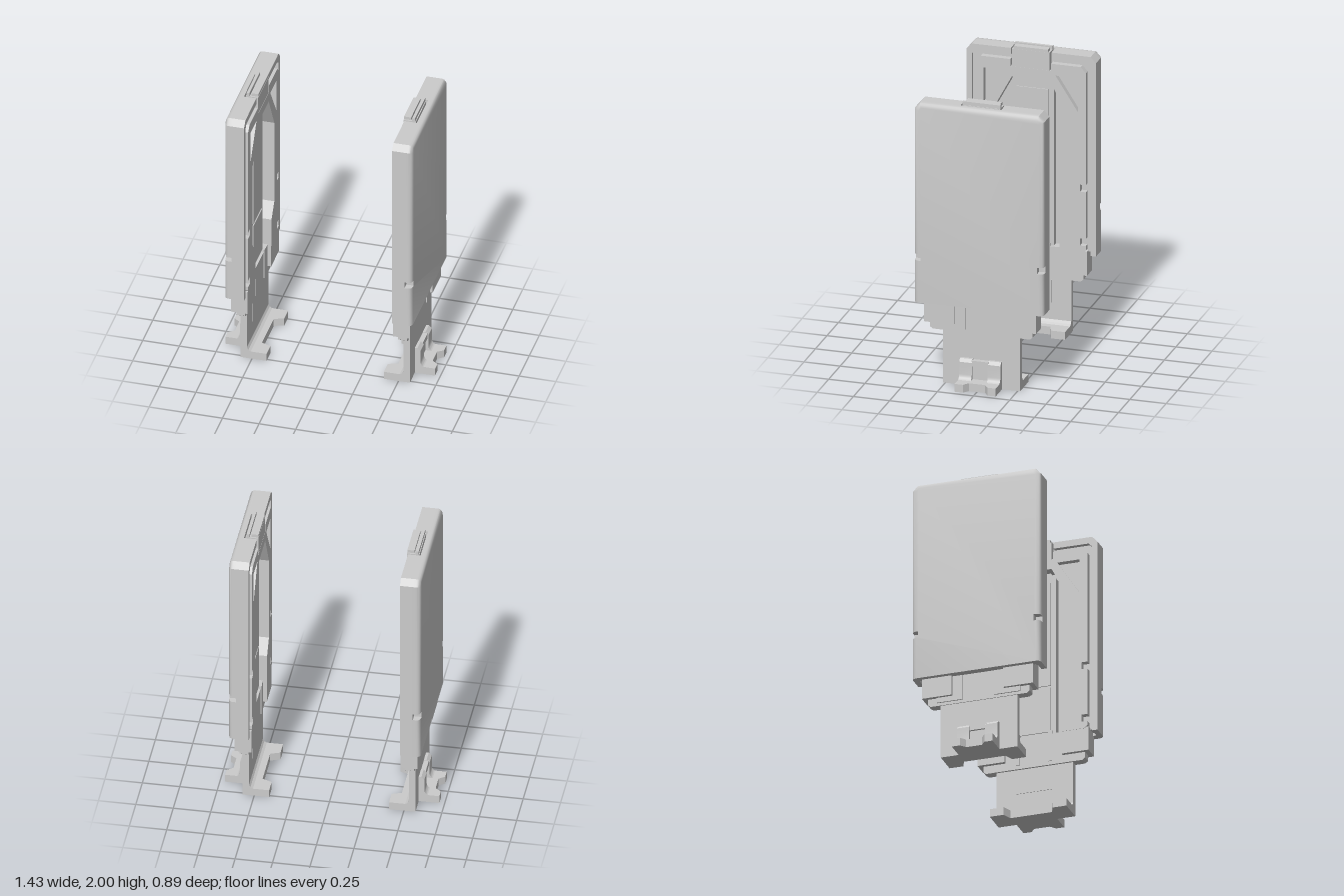
import * as THREE from 'three';
import { toCreasedNormals } from 'three/addons/utils/BufferGeometryUtils.js';

const material = new THREE.MeshStandardMaterial({ color: 0xcccccc });

function add(group, name, geometry) {
  const mesh = new THREE.Mesh(geometry, material);
  mesh.name = name;
  group.add(mesh);
  return mesh;
}

const shapeOf = (pts) => new THREE.Shape(pts.map(([a, b]) => new THREE.Vector2(a, b)));
const flip = (pts) => pts.map(([a, b]) => [-a, b]).reverse();
const mirrored = (half) => [...half, ...flip(half)];

// Side-profile slab (across, up) between two x positions
function slab(pts, x0, x1, holes = []) {
  const shape = shapeOf(pts);
  holes.forEach((h) => shape.holes.push(shapeOf(h)));
  const g = new THREE.ExtrudeGeometry(shape, { depth: x1 - x0, bevelEnabled: false });
  return g.rotateY(Math.PI / 2).translate(x0, 0, 0);
}

// Plan-profile slab (x, z) between two heights
function planSlab(pts, y0, y1) {
  const g = new THREE.ExtrudeGeometry(shapeOf(pts), { depth: y1 - y0, bevelEnabled: false });
  return g.rotateX(Math.PI / 2).translate(0, y1, 0);
}

function box(x0, x1, y0, y1, z0, z1) {
  return new THREE.BoxGeometry(x1 - x0, y1 - y0, z1 - z0)
    .translate((x0 + x1) / 2, (y0 + y1) / 2, (z0 + z1) / 2);
}

// Outer cover: loops of the outline, shrinking towards the outer face
function coverGeometry() {
  const layers = [[0.59, 0], [0.613, 0], [0.625, 0.003], [0.635, 0.012], [0.641, 0.03]];
  const outline = (i) => {
    const w = 0.447 - i, n = Math.min(w, 0.402);
    return mirrored([
      [w, 0.57], [w, 0.865], [n, 0.865], [n, 0.91], [w, 0.91],
      [w, 1.935 - i * 0.4], [0.41 - i * 0.4, 1.975 - i],
    ]);
  };
  const loops = layers.map(([, i]) => outline(i));
  const pos = [], index = [], count = loops[0].length;
  loops.forEach((loop, j) => loop.forEach(([u, v]) => pos.push(layers[j][0], v, -u)));
  for (let j = 0; j < layers.length - 1; j++) {
    for (let k = 0; k < count; k++) {
      const a = j * count + k, b = j * count + (k + 1) % count;
      index.push(a, b, b + count, a, b + count, a + count);
    }
  }
  const top = (layers.length - 1) * count;
  const caps = (loop) => THREE.ShapeUtils.triangulateShape(loop.map(([a, b]) => new THREE.Vector2(a, b)), []);
  caps(loops[0]).forEach(([a, b, c]) => index.push(a, c, b));
  caps(loops[layers.length - 1]).forEach(([a, b, c]) => index.push(top + a, top + b, top + c));
  const g = new THREE.BufferGeometry();
  g.setAttribute('position', new THREE.Float32BufferAttribute(pos, 3));
  g.setIndex(index);
  return toCreasedNormals(g, 0.7);
}

function createUnit() {
  const unit = new THREE.Group();
  add(unit, 'outerCover', coverGeometry());

  // Rim around the inner side, with a slot at the top for the latch
  const rim = [[0.447, 0.57], [0.447, 1.935], [0.41, 1.975], [0.14, 1.975], [0.14, 1.93],
    [0.385, 1.93], [0.41, 1.905], [0.41, 0.57]];
  add(unit, 'coverRim', slab(rim, 0.505, 0.59));
  add(unit, 'coverRim', slab(flip(rim), 0.505, 0.59));

  // Channel outline shared by the inner frame and the groove floor
  const channel = [[-0.13, 1.78], [-0.27, 1.52], [-0.27, 0.9], [-0.2, 0.8], [-0.2, 0.59]];
  const opening = mirrored(channel);
  const floorOutline = [[0.42, 0.59], [0.42, 1.94]];
  add(unit, 'grooveFloor', slab([...mirrored(floorOutline), ...opening.reverse().map(([a, b]) => [a, b])].slice(0, 4)
    .concat(flip(channel).map(([a, b]) => [-a, b]), channel.map(([a, b]) => [-a, b])), 0.535, 0.59));

  // Inner frame with side notches and triangular corner pockets
  const edge = [[0.36, 0.59], [0.38, 0.61], [0.38, 0.64], [0.34, 0.64], [0.34, 0.69], [0.38, 0.69],
    [0.38, 1.02], [0.34, 1.02], [0.34, 1.07], [0.38, 1.07], [0.38, 1.86], [0.345, 1.9],
    [0.14, 1.9], [0.14, 1.85]];
  const pocket = [[0.325, 1.58], [0.325, 1.82], [0.17, 1.82]];
  const frame = [...mirrored(edge), ...flip(channel).map(([a, b]) => [-a, b]),
    ...channel.map(([a, b]) => [-a, b])];
  add(unit, 'innerFrame', slab(frame, 0.495, 0.575, [pocket, flip(pocket)]));

  // Central rail with two raised panels
  const rail = mirrored([[0.145, 0.6], [0.145, 1.73], [0.11, 1.77]]);
  add(unit, 'centralRail', slab(rail, 0.54, 0.592));
  add(unit, 'railPanel', box(0.533, 0.545, 0.62, 0.94, -0.11, 0.11));
  add(unit, 'railPanel', box(0.533, 0.545, 0.955, 1.7, -0.11, 0.11));

  // Top latch: body, back lip and end walls
  add(unit, 'latchBody', box(0.496, 0.58, 1.84, 1.975, -0.13, 0.13));
  add(unit, 'latchLip', box(0.555, 0.575, 1.97, 2, -0.13, 0.13));
  add(unit, 'latchLip', box(0.497, 0.545, 1.97, 1.995, -0.118, 0.118));

  // Sliding carriage below the cover
  add(unit, 'carriagePlate', slab(mirrored([[0.335, 0.375], [0.355, 0.39], [0.355, 0.6]]), 0.522, 0.583));
  for (const s of [-1, 1]) {
    const side = (name, x0, x1, y0, y1, z0, z1) =>
      add(unit, name, box(x0, x1, y0, y1, Math.min(s * z0, s * z1), Math.max(s * z0, s * z1)));
    side('carriageBlock', 0.497, 0.61, 0.43, 0.6, 0.3, 0.387);
    side('carriageOuterBlock', 0.58, 0.61, 0.43, 0.59, 0.18, 0.31);
    side('carriageInnerBlock', 0.497, 0.53, 0.43, 0.6, 0.2, 0.31);
    side('carriageStep', 0.58, 0.592, 0.395, 0.58, 0.11, 0.29);
    side('railGuide', 0.515, 0.53, 0.4, 0.62, 0.1, 0.125);
  }

  // Sliding leg
  add(unit, 'leg', box(0.535, 0.577, 0, 0.4, -0.267, 0.267));
  add(unit, 'legPanel', box(0.531, 0.54, 0.2, 0.36, -0.13, 0.13));

  // Inner foot: two prongs, with a fillet against the leg
  const prong = [[0.54, 0.267], [0.4, 0.267], [0.4, 0.17], [0.465, 0.145]];
  const mirrorZ = (pts) => [...pts, ...pts.map(([x, z]) => [x, -z]).reverse()];
  add(unit, 'innerFoot', planSlab(mirrorZ(prong), 0, 0.055));
  const fillet = shapeOf([[0.5, 0.05], [0.54, 0.05], [0.54, 0.09], [0.525, 0.065]]);
  add(unit, 'footFillet', new THREE.ExtrudeGeometry(fillet, { depth: 0.534, bevelEnabled: false })
    .translate(0, 0, -0.267));

  // Outer foot: notched toe and two curved cheeks joined by a top bridge
  const toe = [[0.57, 0.142], [0.715, 0.142], [0.715, 0.085], [0.675, 0.055]];
  add(unit, 'outerFoot', planSlab(mirrorZ(toe), 0, 0.055));
  const cheek = new THREE.Shape();
  cheek.moveTo(0.57, 0.05);
  cheek.lineTo(0.655, 0.05);
  cheek.quadraticCurveTo(0.617, 0.055, 0.615, 0.09);
  cheek.lineTo(0.615, 0.175);
  cheek.lineTo(0.595, 0.195);
  cheek.lineTo(0.57, 0.195);
  for (const z of [-0.142, 0.055]) {
    const g = new THREE.ExtrudeGeometry(cheek, { depth: 0.087, bevelEnabled: false, curveSegments: 8 });
    add(unit, 'footCheek', toCreasedNormals(g.translate(0, 0, z), 0.6));
  }
  add(unit, 'footBridge', box(0.57, 0.61, 0.15, 0.19, -0.06, 0.06));
  add(unit, 'footWeb', box(0.57, 0.595, 0.05, 0.16, -0.06, 0.06));
  return unit;
}

export function createModel() {
  const model = new THREE.Group();
  model.name = 'pairedSlidingPanels';
  // Two identical units facing each other
  ['leftUnit', 'rightUnit'].forEach((name, i) => {
    const unit = createUnit();
    unit.name = name;
    unit.rotation.y = i * Math.PI;
    model.add(unit);
  });
  return model;
}
